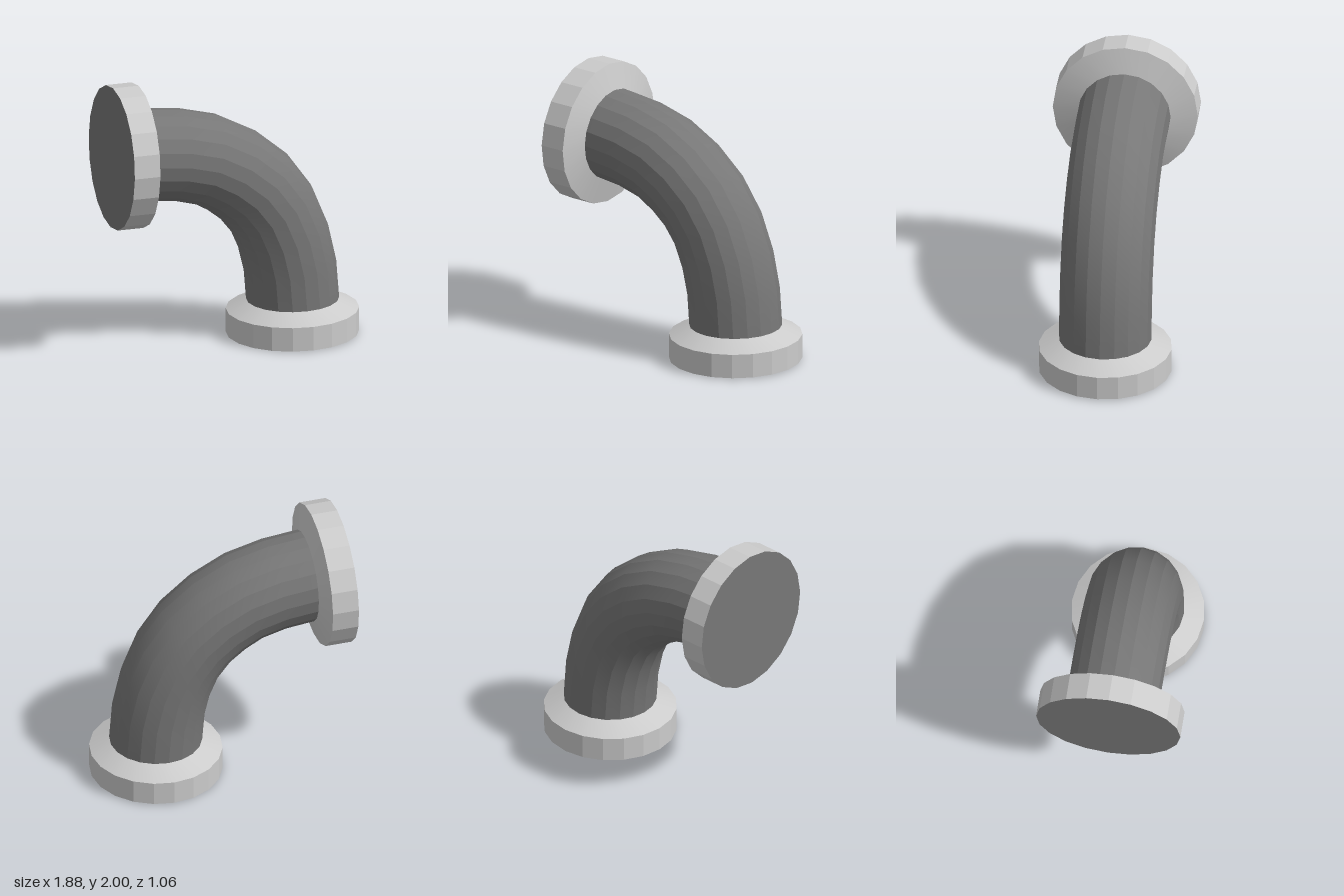
import * as THREE from 'three';
import { toCreasedNormals } from 'three/addons/utils/BufferGeometryUtils.js';

const SIDES = 20;

// Skins a row of round cross-sections [x, y, tilt in degrees, radius] lying in the bend plane.
function loft(rings) {
  const positions = [];
  const index = [];
  for (const [x, y, tilt, r] of rings) {
    const t = THREE.MathUtils.degToRad(tilt);
    for (let j = 0; j < SIDES; j++) {
      const a = (j / SIDES) * Math.PI * 2;
      const u = r * Math.cos(a);
      positions.push(x + u * Math.cos(t), y + u * Math.sin(t), r * Math.sin(a));
    }
  }
  for (let i = 0; i < rings.length - 1; i++) {
    for (let j = 0; j < SIDES; j++) {
      const k = (j + 1) % SIDES;
      const a = i * SIDES + j, b = i * SIDES + k;
      const d = a + SIDES, c = b + SIDES;
      if (rings[i + 1][3] > 0) index.push(a, d, c);
      if (rings[i][3] > 0) index.push(a, c, b);
    }
  }
  const geometry = new THREE.BufferGeometry();
  geometry.setAttribute('position', new THREE.Float32BufferAttribute(positions, 3));
  geometry.setIndex(index);
  // lengthwise facets stay crisp, the bend itself stays smooth
  return toCreasedNormals(geometry, THREE.MathUtils.degToRad(15));
}

export function createModel() {
  const group = new THREE.Group();
  const light = new THREE.MeshStandardMaterial({ color: 0xcccccc });
  const dark = new THREE.MeshStandardMaterial({ color: 0x777777 });

  const add = (name, rings, material) => {
    const mesh = new THREE.Mesh(loft(rings), material);
    mesh.name = name;
    group.add(mesh);
  };

  // Curved pipe: centre and tilt of each cross-section, from the base up
  const R = 0.338;
  const bend = [
    [0.448, 0.257, 0.6], [0.428, 0.51, 6.8], [0.375, 0.74, 15.5],
    [0.283, 0.96, 26.4], [0.15, 1.14, 41.3], [-0.02, 1.28, 57],
    [-0.215, 1.385, 71.6], [-0.445, 1.445, 82.4], [-0.687, 1.47, 89],
  ];
  add('pipeElbow', bend.map((p) => [...p, R]), dark);

  // Base flange: straight rim, then a bevel up to the pipe
  const base = [0.447, 0.005, 0.6, 0.485];
  add('baseFlange', [base, [0.447, 0.184, 0.6, 0.485], [0.448, 0.257, 0.6, R]], light);
  add('baseCap', [[0.447, 0.005, 0.6, 0], base], dark);

  // Upper flange: bevel away from the pipe, then a straight rim
  const end = [-0.934, 1.47, 89, 0.53];
  add('upperFlange', [[-0.687, 1.47, 89, R], [-0.738, 1.47, 89, 0.53], end], light);
  add('upperCap', [end, [-0.934, 1.47, 89, 0]], dark);

  return group;
}
